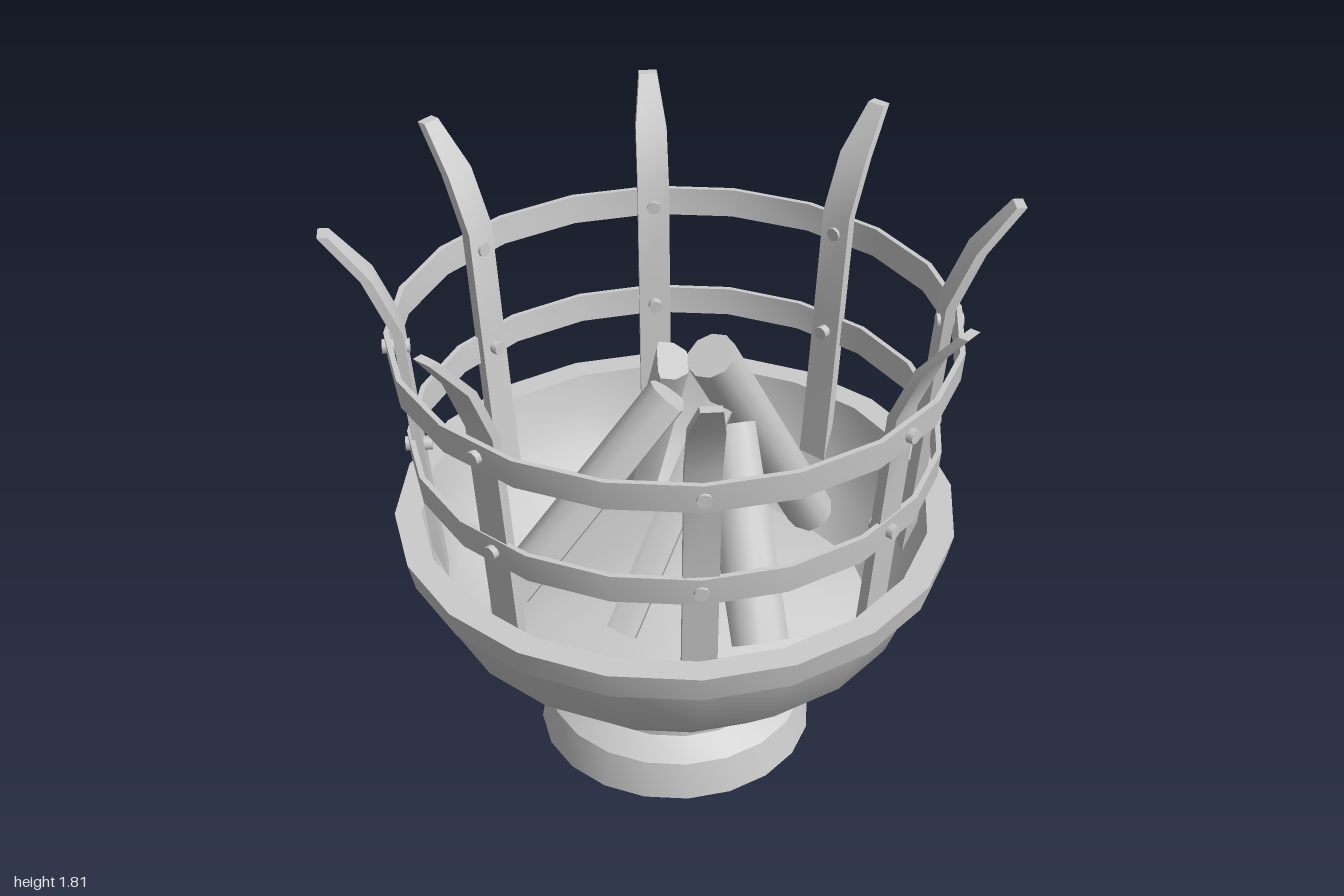
import * as THREE from 'three';
import { toCreasedNormals } from 'three/addons/utils/BufferGeometryUtils.js';

const SIDES = 20;
const FLAT = 1 / Math.cos(Math.PI / SIDES); // flat-to-flat radius -> corner radius
const TWIST = -0.02;

export function createModel() {
  const model = new THREE.Group();
  const grey = new THREE.MeshStandardMaterial({ color: 0xcccccc });

  function add(parent, name, geometry, crease) {
    const mesh = new THREE.Mesh(toCreasedNormals(geometry, crease), grey);
    mesh.name = name;
    parent.add(mesh);
    return mesh;
  }

  // Turned parts: profile of [radius, height], flats facing the axes
  function turned(parent, name, profile) {
    const pts = profile.map(([r, y]) => new THREE.Vector2(r * FLAT, y));
    return add(parent, name, new THREE.LatheGeometry(pts, SIDES, Math.PI / SIDES), 0.65);
  }

  const brazier = new THREE.Group();
  brazier.name = 'brazier';
  brazier.rotation.y = TWIST;
  model.add(brazier);

  turned(brazier, 'foot', [[0, 0], [0.43, 0], [0.405, 0.12], [0.33, 0.17], [0.325, 0.25], [0, 0.25]]);
  turned(brazier, 'bowl', [
    [0, 0.25], [0.33, 0.25], [0.54, 0.375], [0.72, 0.55], [0.795, 0.75],
    [0.825, 0.75], [0.845, 0.84], [0.765, 0.84],
    [0.745, 0.74], [0.68, 0.56], [0.5, 0.39], [0.3, 0.29], [0, 0.28],
  ]);

  // Flat hoops around the slats
  const hoops = [
    { name: 'lowerHoop', y: 1.05, r: 0.78 },
    { name: 'upperHoop', y: 1.39, r: 0.823 },
  ];
  for (const { name, y, r } of hoops) {
    const t = 0.016, top = y + 0.09;
    turned(brazier, name, [[r - t, y], [r, y], [r + 0.007, top], [r + 0.007 - t, top], [r - t, y]]);
  }

  // Slat: a box whose rows follow [radius, height, half width]
  const rows = [
    [0.72, 0.62, 0.05], [0.742, 0.84, 0.05], [0.768, 1.15, 0.05],
    [0.797, 1.5, 0.05], [0.872, 1.675, 0.049], [0.982, 1.81, 0.029],
  ];
  function slatGeometry() {
    const geo = new THREE.BoxGeometry(2, 1, 0.03, 1, rows.length - 1, 1);
    const p = geo.attributes.position;
    for (let i = 0; i < p.count; i++) {
      const [r, y, w] = rows[Math.round((p.getY(i) + 0.5) * (rows.length - 1))];
      p.setXYZ(i, p.getX(i) * w, y, p.getZ(i) + r);
    }
    return geo;
  }

  // Eight slats, each riveted through both hoops
  for (let k = 0; k < 8; k++) {
    const arm = new THREE.Group();
    arm.name = 'slatWithRivets';
    arm.rotation.y = (k * Math.PI) / 4;
    brazier.add(arm);
    add(arm, 'slat', slatGeometry(), 0.6);
    for (const { y, r } of hoops) {
      const rivet = new THREE.CylinderGeometry(0.022, 0.022, 0.08, 8).rotateX(Math.PI / 2);
      add(arm, 'rivet', rivet, 0.9).position.set(0, y + 0.045, r - 0.016);
    }
  }

  // Uneven ash bed, mounded toward the middle, its edge buried in the bowl wall
  const ashProfile = [0.6, 0.4, 0.2, 0].map((r) => new THREE.Vector2(r, 0.46 + 0.14 * (1 - (r / 0.6) ** 2)));
  const ash = new THREE.LatheGeometry(ashProfile, 28);
  const ap = ash.attributes.position;
  for (let i = 0; i < ap.count; i++) {
    const x = ap.getX(i), z = ap.getZ(i);
    ap.setY(i, ap.getY(i) + 0.016 * Math.sin(7 * x + 1) * Math.cos(6 * z) + 0.02 * x);
  }
  add(model, 'ashBed', ash, 1);

  // Firewood leaning together: cut is how far below the axis the split face lies
  const logs = new THREE.Group();
  logs.name = 'firewood';
  model.add(logs);
  function log(name, top, bottom, size, roll = 0, cut = 0.4) {
    const a = new THREE.Vector3(...top), b = new THREE.Vector3(...bottom);
    const length = a.distanceTo(b);
    const geo = new THREE.CylinderGeometry(size, size, length, 10).rotateX(Math.PI / 2).translate(0, 0, length / 2);
    const p = geo.attributes.position;
    for (let i = 0; i < p.count; i++) p.setY(i, Math.max(p.getY(i), -cut * size));
    const mesh = add(logs, name, geo.rotateZ(roll), 0.7);
    mesh.position.copy(a);
    mesh.lookAt(b);
  }
  log('roundLog', [0.055, 1.33, -0.1], [0.09, 0.5, -0.6], 0.078, 0, 1);
  log('frontLeftSplitLog', [0.01, 1.22, 0.02], [-0.24, 0.65, 0.45], 0.088, 0.5);
  log('leftSplitLog', [-0.12, 1.24, -0.11], [-0.34, 0.62, -0.2], 0.075, 2);
  log('rightSplitLog', [0.11, 1.1, -0.11], [0.43, 0.58, 0.13], 0.09, -0.4);
  log('smallSplitLog', [0.135, 1.22, -0.03], [0.108, 0.62, 0.39], 0.048, 2.7);

  return model;
}
